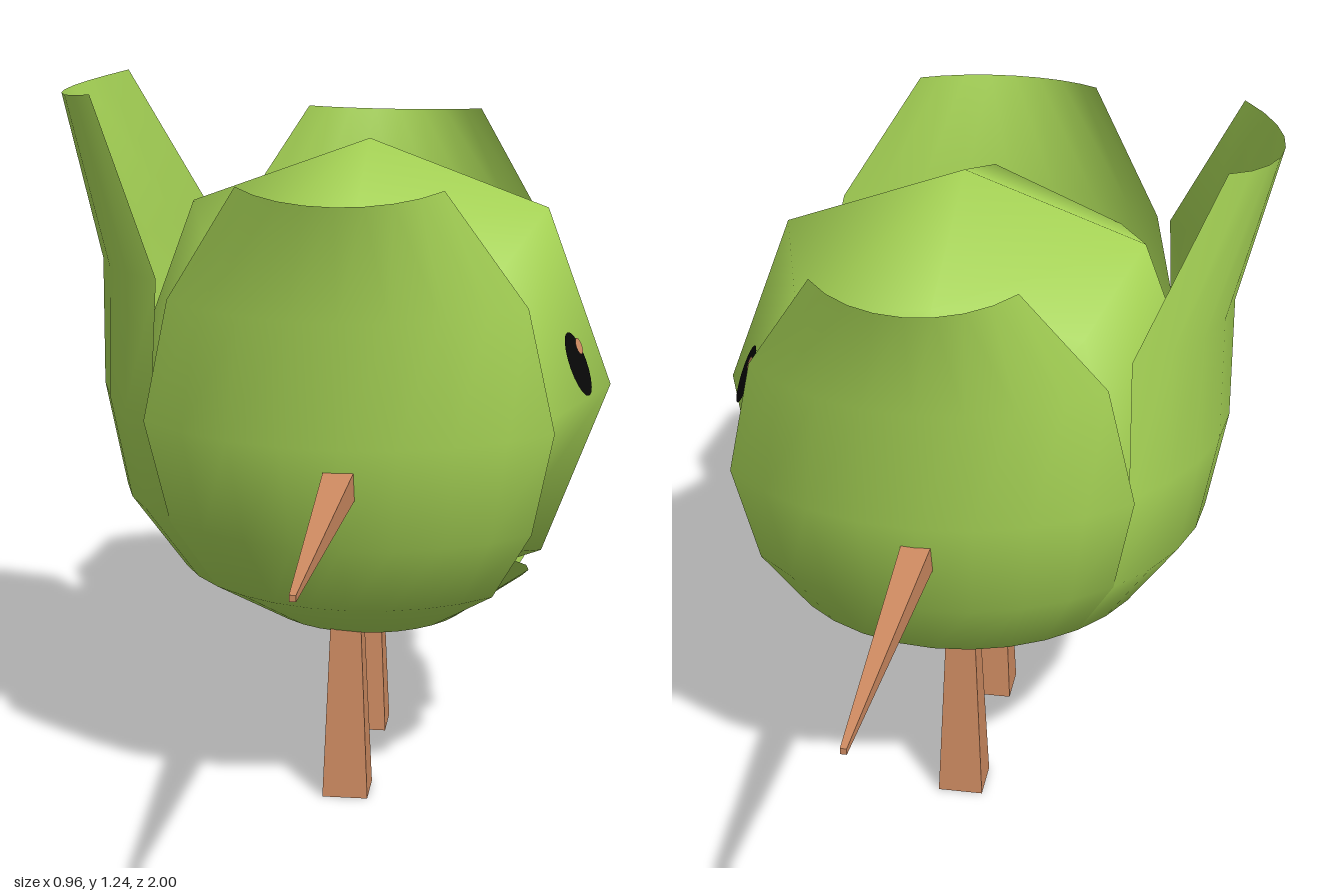
import * as THREE from 'three';
import { mergeVertices } from 'three/addons/utils/BufferGeometryUtils.js';

const CX = 0.055, CY = 0.72, R = 0.425; // head centre and radius

// Curved sheet around the head; each row is [rMid, yMid, halfAngleDeg, rEdge, yEdge]
function leafGeometry(azimuth, rows, power = 2, cols = 8) {
  const pos = [], idx = [];
  rows.forEach(([rMid, yMid, half, rEdge = rMid, yEdge = yMid], j) => {
    for (let i = 0; i <= cols; i++) {
      const t = (i / cols) * 2 - 1, k = Math.abs(t) ** power;
      const a = azimuth + THREE.MathUtils.degToRad(half) * t;
      const r = rMid + (rEdge - rMid) * k;
      pos.push(CX + r * Math.cos(a), yMid + (yEdge - yMid) * k, r * Math.sin(a));
      if (j && i < cols) {
        const p = (j - 1) * (cols + 1) + i, q = p + cols + 1;
        idx.push(p, q, p + 1, p + 1, q, q + 1);
      }
    }
  });
  const g = new THREE.BufferGeometry();
  g.setAttribute('position', new THREE.Float32BufferAttribute(pos, 3));
  g.setIndex(idx);
  g.computeVertexNormals();
  return g;
}

// Coarse rounded cube with smooth normals
function headGeometry() {
  let g = new THREE.BoxGeometry(2, 2, 2, 2, 2, 2);
  g.deleteAttribute('uv');
  g.deleteAttribute('normal');
  g = mergeVertices(g);
  const p = g.attributes.position, v = new THREE.Vector3();
  const scale = [0, 1, 0.73, 0.565];
  for (let i = 0; i < p.count; i++) {
    v.fromBufferAttribute(p, i);
    v.multiplyScalar(R * scale[Math.round(v.lengthSq())]);
    p.setXYZ(i, v.x, v.y, v.z);
  }
  g.computeVertexNormals();
  return g.translate(CX, CY, 0);
}

// Ellipse laid onto the sloping face of the head
function faceSpot(y0, z0, ry, rz, lift) {
  const g = new THREE.CircleGeometry(1, 20), p = g.attributes.position;
  for (let i = 0; i < p.count; i++) {
    const y = y0 + p.getY(i) * ry, z = z0 - p.getX(i) * rz;
    p.setXYZ(i, CX + R - 0.37 * Math.abs(y - CY) - 0.37 * Math.abs(z) + lift, y, z);
  }
  g.computeVertexNormals();
  return g;
}

// Square tapered stick along y
function stick(halfTop, halfBottom, length) {
  return new THREE.CylinderGeometry(halfTop * Math.SQRT2, halfBottom * Math.SQRT2, length, 4)
    .rotateY(Math.PI / 4);
}

export function createModel() {
  const model = new THREE.Group();
  const green = new THREE.MeshStandardMaterial({ color: 0xa9d757, side: THREE.DoubleSide });
  green.name = 'leafGreen';
  const twig = new THREE.MeshStandardMaterial({ color: 0xd08c62, flatShading: true });
  twig.name = 'twigBrown';
  const black = new THREE.MeshStandardMaterial({ color: 0x080808 });
  black.name = 'eyeBlack';
  const add = (name, geometry, material) => {
    const m = new THREE.Mesh(geometry, material);
    m.name = name;
    model.add(m);
    return m;
  };

  add('head', headGeometry(), green);

  // Leaves share a bowl-shaped base and differ in their tips
  const base = [[0, 0.272, 45], [0.18, 0.305, 45]];
  const cup = [...base, [0.335, 0.4, 45], [0.43, 0.535, 45]];
  const sideLeaf = [...cup, [0.48, 0.72, 45], [0.48, 0.925, 39.7, 0.46, 0.93],
    [0.53, 1.12, 20, 0.48, 1.135]];
  const backLeaf = [...cup, [0.465, 0.72, 45], [0.465, 0.94, 42, 0.435, 0.95],
    [0.535, 1.22, 20, 0.484, 1.235]];
  add('leftLeaf', leafGeometry(Math.PI / 2, sideLeaf), green);
  add('rightLeaf', leafGeometry(-Math.PI / 2, sideLeaf), green);
  add('backLeaf', leafGeometry(Math.PI, backLeaf), green);
  add('chinLeaf', leafGeometry(0, [...base, [0.25, 0.345, 45, 0.385, 0.48]], 1), green);

  for (const s of [1, -1]) {
    // Eyes with a small glint
    add('eye', faceSpot(0.78, s * 0.105, 0.055, 0.033, 0.006), black);
    add('eyeGlint', faceSpot(0.808, s * 0.105 - 0.015, 0.014, 0.011, 0.011), twig);

    // Arms taper to a point
    const arm = add('arm', stick(0.005, 0.027, 0.6), twig);
    arm.rotation.x = s * Math.PI / 2;
    arm.position.set(CX, 0.655, s * 0.7);

    // Legs widen to the foot
    const leg = add('leg', stick(0.025, 0.04, 0.36), twig);
    leg.position.set(0.035, 0.18, s * 0.158);
  }
  return model;
}
